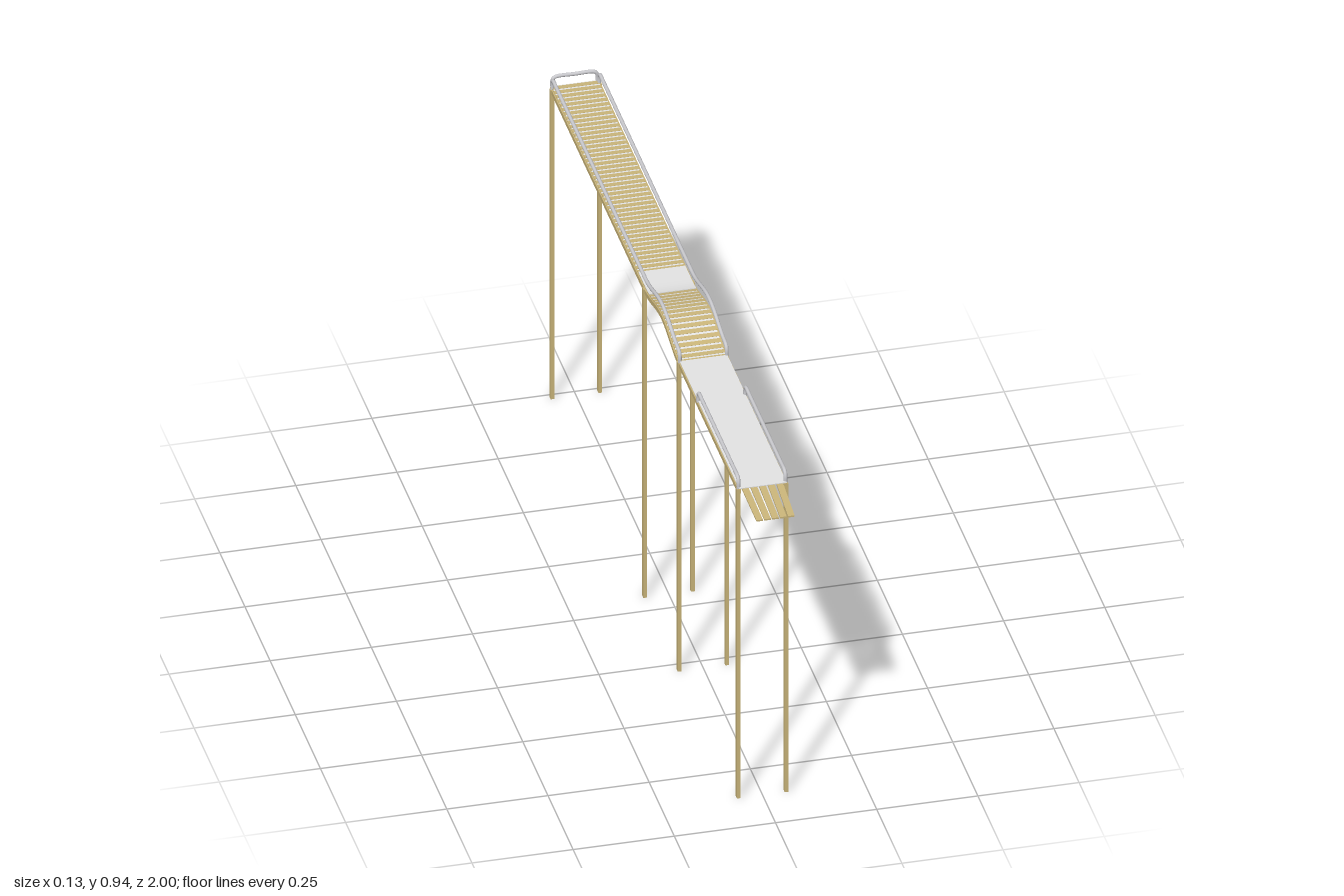
import * as THREE from 'three';

const mat = (name, color) => {
  const m = new THREE.MeshStandardMaterial({ color });
  m.name = name;
  return m;
};

// Height of the hump along the walkway
const hump = (z) => (Math.abs(z - 0.11) < 0.17 ? 0.0145 * (1 + Math.cos((Math.PI * (z - 0.11)) / 0.17)) : 0);

// Box section that follows the hump from z0 to z1
function strip(z0, z1, x, width, low, high) {
  const n = 1 + Math.ceil((z1 - z0) / 0.01);
  const zs = Array.from({ length: n + 1 }, (_, i) => z0 + ((z1 - z0) * i) / n);
  const pts = zs.map((z) => new THREE.Vector2(z, low + hump(z)));
  zs.reverse().forEach((z) => pts.push(new THREE.Vector2(z, high + hump(z))));
  const g = new THREE.ExtrudeGeometry(new THREE.Shape(pts), { depth: width, bevelEnabled: false });
  return g.rotateY(-Math.PI / 2).translate(x + width / 2, 0, 0);
}

// Round rail along a list of points
function rail(points) {
  const curve = new THREE.CatmullRomCurve3(points, false, 'centripetal');
  return new THREE.TubeGeometry(curve, points.length * 5, 0.0048, 10, false);
}

// Handrail that rises at z1, follows the hump and drops at z0
function handrail(x, z0, z1) {
  const top = 0.9035, base = 0.874, r = 0.012;
  const p = (z, y) => new THREE.Vector3(x, y + hump(z), z);
  const pts = [p(z1, base), p(z1, top - r), p(z1 - 0.3 * r, top - 0.3 * r), p(z1 - r, top)];
  const n = Math.round((z1 - z0) / 0.03);
  for (let i = 1; i < n; i++) pts.push(p(z1 - r - ((z1 - z0 - 2 * r) * i) / n, top));
  pts.push(p(z0 + r, top), p(z0 + 0.3 * r, top - 0.3 * r), p(z0, top - r), p(z0, base));
  return rail(pts);
}

export function createModel() {
  const model = new THREE.Group();
  model.name = 'raisedWalkway';
  const wood = mat('tanWood', 0xcab57a);
  const sheet = mat('lightGreySheet', 0xe4e4e4);
  const metal = mat('greyMetal', 0xcacace);

  const add = (name, geometry, material) => {
    const mesh = new THREE.Mesh(geometry, material);
    mesh.name = name;
    model.add(mesh);
    return mesh;
  };

  // Posts, side beams and handrails, mirrored
  for (const s of [-1, 1]) {
    for (const z of [0.866, 0.278, -0.064, -0.985]) {
      const h = 0.874 + hump(z);
      add('post', new THREE.BoxGeometry(0.009, h, 0.012), wood).position.set(s * 0.059, h / 2, z);
    }
    add('sideBeam', strip(-0.995, 0.872, s * 0.057, 0.008, 0.863, 0.875), wood);
    add('frontHandrail', handrail(s * 0.058, 0.465, 0.866), metal);
    add('backHandrail', handrail(s * 0.058, -0.985, 0.282), metal);
  }

  // Cross rail at the far end
  const c = (x, y) => new THREE.Vector3(x, y, -0.9945);
  add('endRail', rail([
    c(-0.056, 0.876), c(-0.056, 0.891), c(-0.052, 0.9), c(-0.044, 0.9035), c(0, 0.9035),
    c(0.044, 0.9035), c(0.052, 0.9), c(0.056, 0.891), c(0.056, 0.876),
  ]), metal);

  // Thin cross slats, tilted to the slope of the deck
  const slats = new THREE.Group();
  slats.name = 'slats';
  const slatGeometry = new THREE.BoxGeometry(0.116, 0.002, 0.0135);
  for (let z = -0.985; z < 0.87; z += 0.0198) {
    const slat = new THREE.Mesh(slatGeometry, wood);
    slat.name = 'slat';
    slat.position.set(0, 0.8765 + hump(z), z);
    slat.rotation.x = -Math.atan((hump(z + 0.005) - hump(z - 0.005)) / 0.01);
    slats.add(slat);
  }
  model.add(slats);

  // Sheets: over the slats at the front and behind the hump, almost flush with them elsewhere
  add('frontSheet', strip(0.284, 0.875, 0, 0.118, 0.8775, 0.8795), sheet);
  add('humpSheet', strip(-0.02, 0.284, 0, 0.114, 0.8735, 0.8769), sheet);
  add('middleSheet', strip(-0.13, -0.02, 0, 0.116, 0.8775, 0.8795), sheet);
  add('backSheet', strip(-0.995, -0.13, 0, 0.114, 0.8735, 0.8769), sheet);

  // Sloping tongue of five narrow boards at the front
  for (let i = -2; i <= 2; i++) {
    const g = new THREE.BoxGeometry(0.016, 0.004, 0.136);
    const pos = g.attributes.position;
    for (let k = 0; k < pos.count; k++) {
      const t = pos.getZ(k) / 0.136 + 0.5;
      pos.setX(k, pos.getX(k) + i * (0.0215 - 0.002 * t));
      pos.setY(k, pos.getY(k) + 0.875 - 0.013 * t);
      pos.setZ(k, 0.864 + 0.136 * t);
    }
    g.computeVertexNormals();
    add('tongueBoard', g, wood);
  }
  return model;
}
